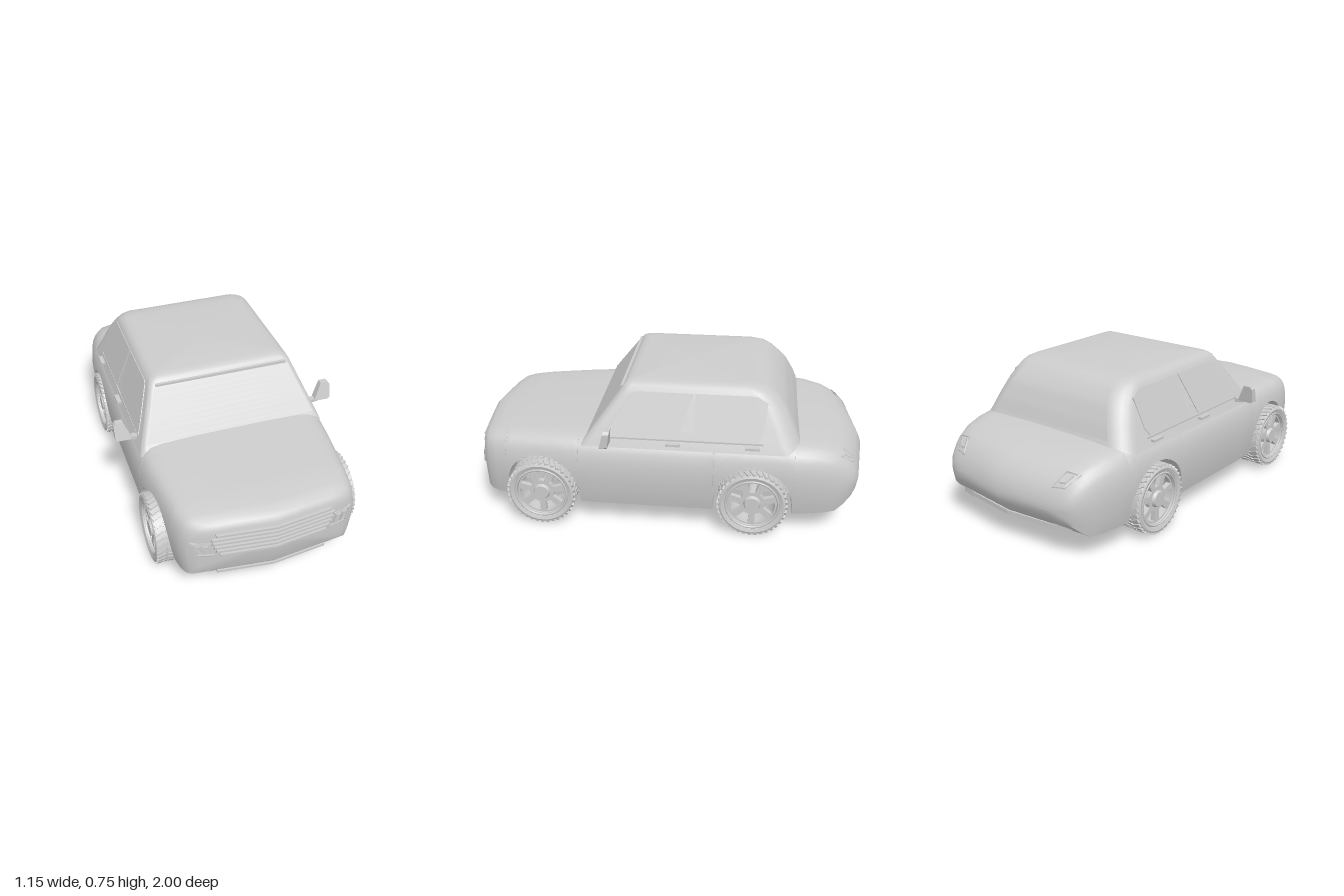
import * as THREE from 'three';
import { toCreasedNormals, mergeGeometries } from 'three/addons/utils/BufferGeometryUtils.js';

const material = new THREE.MeshStandardMaterial({ color: 0xcccccc });
const thin = new THREE.MeshStandardMaterial({ color: 0xcccccc, side: THREE.DoubleSide });

function add(parent, name, geometry, mat = material) {
  const m = new THREE.Mesh(geometry, mat);
  m.name = name;
  parent.add(m);
  return m;
}

// Linear lookup in a table of rows [key, a, b, ...] sorted by rising key
function lookup(table, key, col) {
  let i = 1;
  while (i < table.length - 1 && table[i][0] < key) i++;
  const a = table[i - 1], b = table[i];
  const t = THREE.MathUtils.clamp((key - a[0]) / (b[0] - a[0]), 0, 1);
  return a[col] + (b[col] - a[col]) * t;
}

// Skin over closed rings of equal length, with fan caps around the given centres
function loft(rings, startCentre, endCentre, crease) {
  const n = rings[0].length, index = [];
  const verts = [...rings.flat(), startCentre, endCentre];
  const s = rings.length * n, last = s - n;
  for (let j = 0; j < n; j++) {
    const k = (j + 1) % n;
    for (let i = 0; i < rings.length - 1; i++) {
      const a = i * n + j, b = i * n + k;
      index.push(a, b, a + n, b, b + n, a + n);
    }
    index.push(s, k, j, s + 1, last + j, last + k);
  }
  const g = new THREE.BufferGeometry();
  g.setAttribute('position', new THREE.Float32BufferAttribute(verts.flat(), 3));
  g.setIndex(index);
  return toCreasedNormals(g, crease);
}

// Lower body stations: z, half width, top, bottom
const BODY = [
  [-1.0, 0.33, 0.285, 0.25], [-0.99, 0.38, 0.32, 0.222], [-0.97, 0.41, 0.36, 0.188], [-0.93, 0.435, 0.402, 0.15],
  [-0.88, 0.452, 0.43, 0.122], [-0.8, 0.472, 0.455, 0.12], [-0.7, 0.492, 0.474, 0.12], [-0.6, 0.502, 0.485, 0.12],
  [0.35, 0.502, 0.484, 0.12], [0.5, 0.492, 0.476, 0.12], [0.65, 0.474, 0.468, 0.12], [0.8, 0.456, 0.458, 0.12],
  [0.9, 0.443, 0.448, 0.12], [0.95, 0.427, 0.438, 0.126], [0.972, 0.405, 0.424, 0.135], [0.985, 0.365, 0.4, 0.16]];
// Side profile: height fraction, width fraction
const SIDE = [[0, 0.95], [0.12, 0.97], [0.25, 0.985], [0.4, 0.997], [0.55, 1], [0.68, 0.992], [0.8, 0.972],
  [0.88, 0.945], [0.94, 0.905], [0.98, 0.84], [1, 0.72]];
const AXLES = [0.62, -0.44], ARCH = 0.195, WHEEL = 0.174, VEE = 0.116;

function bodyRing(z) {
  const hw = lookup(BODY, z, 1), top = lookup(BODY, z, 2), floor = lookup(BODY, z, 3);
  let sill = floor;
  for (const c of AXLES)
    if (Math.abs(z - c) < ARCH) sill = WHEEL + Math.sqrt(ARCH ** 2 - (z - c) ** 2);
  const half = [[0, floor], [0.28, floor], [0.28, sill]];
  for (const [f] of SIDE) {
    const y = sill + (top - sill) * f;
    half.push([hw * lookup(SIDE, (y - floor) / (top - floor), 1), y]);
  }
  half.push([hw * 0.35, top + 0.004], [0, top + 0.005]);
  const ring = [...half, ...half.slice(1, -1).reverse().map(([x, y]) => [-x, y])];
  const bend = VEE * Math.sign(z) * THREE.MathUtils.smoothstep(Math.abs(z), 0.75, 0.97);
  return ring.map(([x, y]) => [x, y, z - bend * Math.abs(x)]);
}

function bodyGeometry() {
  const zs = BODY.map((r) => r[0]);
  for (let z = -0.6; z < 0.4; z += 0.1) zs.push(z);
  for (const c of AXLES) {
    zs.push(c - ARCH - 0.001, c + ARCH + 0.001);
    for (let i = 0; i <= 20; i++) zs.push(c + ARCH * 0.9999 * Math.cos(Math.PI * i / 20));
  }
  zs.sort((a, b) => a - b);
  return loft(zs.map(bodyRing), [0, 0.267, -1], [0, 0.28, 0.985], 0.6);
}

// Cabin levels: y, front z, rear z, half width, front radius, rear radius
const CABIN = [
  [0.44, 0.42, -0.68, 0.477, 0.03, 0.1], [0.485, 0.385, -0.655, 0.46, 0.03, 0.1], [0.56, 0.33, -0.625, 0.43, 0.03, 0.1],
  [0.64, 0.27, -0.583, 0.398, 0.03, 0.1], [0.68, 0.24, -0.55, 0.382, 0.03, 0.1], [0.71, 0.217, -0.516, 0.37, 0.03, 0.09],
  [0.728, 0.205, -0.487, 0.357, 0.03, 0.08], [0.74, 0.188, -0.45, 0.336, 0.03, 0.07], [0.745, 0.16, -0.4, 0.305, 0.03, 0.06]];

function cabinGeometry() {
  const rings = CABIN.map(([y, zf, zr, hw, rf, rr]) => {
    const ring = [];
    [[1, 1], [1, -1], [-1, -1], [-1, 1]].forEach(([sx, sz], q) => {
      const r = sz > 0 ? rf : rr, z = sz > 0 ? zf - r : zr + r;
      for (let k = 0; k <= 6; k++) {
        const a = (q + k / 6) * Math.PI / 2;
        ring.push([sx * (hw - r) + r * Math.sin(a), y, z + r * Math.cos(a)]);
      }
    });
    return ring;
  });
  return loft(rings, [0, 0.44, -0.1], [0, 0.747, -0.1], 0.75);
}

// Front or rear glass following the cabin levels
function screen(col, dir, y0, y1, inset) {
  const g = new THREE.PlaneGeometry(2, 1, 1, 10), p = g.attributes.position;
  for (let i = 0; i < p.count; i++) {
    const y = y0 + (p.getY(i) + 0.5) * (y1 - y0);
    p.setXYZ(i, dir * p.getX(i) * (lookup(CABIN, y, 3) - inset), y, lookup(CABIN, y, col) + dir * 0.004);
  }
  g.computeVertexNormals();
  return g;
}

const shapeOf = (pts) => new THREE.Shape(pts.map((p) => new THREE.Vector2(...p)));
const extrude = (shape, depth) => new THREE.ExtrudeGeometry(shape, { depth, bevelEnabled: false, curveSegments: 20 });
const scaled = (pts, k) => {
  const cx = pts.reduce((s, p) => s + p[0], 0) / pts.length, cy = pts.reduce((s, p) => s + p[1], 0) / pts.length;
  return pts.map(([x, y]) => [cx + (x - cx) * k, cy + (y - cy) * k]);
};

// Side window drawn in (z, y), leaning with the cabin side
function sideWindow(pts, side) {
  const g = extrude(shapeOf(pts), 0.008), p = g.attributes.position;
  for (let i = 0; i < p.count; i++) {
    const z = p.getX(i), y = p.getY(i);
    p.setXYZ(i, side * (lookup(CABIN, y, 3) - 0.004 + p.getZ(i)), y, z);
  }
  g.computeVertexNormals();
  return g;
}

// Flat outline laid on the body, seen from the front (x, y) or from above (x, z)
function lamp(body, shape, side, above) {
  const g = extrude(shape, 0.016), p = g.attributes.position;
  const ray = new THREE.Raycaster(), down = new THREE.Vector3(0, above ? -1 : 0, above ? 0 : -1);
  for (let i = 0; i < p.count; i++) {
    const u = p.getX(i), v = p.getY(i), d = p.getZ(i) - 0.008;
    ray.set(above ? new THREE.Vector3(u, 2, v) : new THREE.Vector3(u, v, 2), down);
    const hit = ray.intersectObject(body)[0];
    if (above) p.setXYZ(i, side * u, (hit ? hit.point.y : 0.36) + d, v);
    else p.setXYZ(i, side * u, v, (hit ? hit.point.z : 0.92) + d);
  }
  g.computeVertexNormals();
  return g;
}

// Bar bent to the pointed plan of the nose or tail
function veeBar(w, y, h, z, depth, dir = 1) {
  const s = VEE * w * dir, d = depth * dir;
  return extrude(shapeOf([[-w, z - s], [0, z], [w, z - s], [w, z - s - d], [0, z - d], [-w, z - s - d]]), h)
    .rotateX(Math.PI / 2).translate(0, y + h / 2, 0);
}

function makeWheel() {
  const wheel = new THREE.Group();
  const profile = [[0.13, -0.085], [0.155, -0.094], [0.164, -0.09], [0.169, -0.075], [0.169, 0.075], [0.164, 0.09],
    [0.155, 0.094], [0.137, 0.088], [0.134, 0.08], [0.124, 0.08], [0.118, 0.04], [0.122, -0.08], [0.13, -0.085]];
  const tyre = new THREE.LatheGeometry(profile.map((p) => new THREE.Vector2(...p)), 56).rotateZ(-Math.PI / 2);
  add(wheel, 'tyre', toCreasedNormals(tyre, 0.6), thin);
  // Zigzag tread blocks
  const blocks = [];
  for (let i = 0; i < 36; i++) for (let row = 0; row < 4; row++) {
    const b = new THREE.BoxGeometry(0.046, 0.01, 0.019).rotateY(row % 2 ? 0.45 : -0.45);
    blocks.push(b.translate((row - 1.5) * 0.044, 0.169, 0).rotateX(i * Math.PI / 18));
  }
  add(wheel, 'tread', mergeGeometries(blocks));
  // Rim face with seven openings
  const face = new THREE.Shape().absarc(0, 0, 0.126, 0, Math.PI * 2);
  for (let i = 0; i < 7; i++) {
    const a = i * Math.PI * 2 / 7 + Math.PI / 2;
    face.holes.push(new THREE.Path().absarc(0, 0, 0.114, a - 0.3, a + 0.3).absarc(0, 0, 0.062, a + 0.22, a - 0.22, true));
  }
  add(wheel, 'rim', extrude(face, 0.025).rotateY(Math.PI / 2).translate(0.045, 0, 0));
  add(wheel, 'rimLip', new THREE.TorusGeometry(0.13, 0.006, 8, 48).rotateY(Math.PI / 2).translate(0.084, 0, 0));
  add(wheel, 'hub', new THREE.CylinderGeometry(0.036, 0.05, 0.03, 24).rotateZ(-Math.PI / 2).translate(0.07, 0, 0));
  add(wheel, 'axleStub', new THREE.CylinderGeometry(0.025, 0.025, 0.2, 16).rotateZ(Math.PI / 2).translate(-0.05, 0, 0));
  return wheel;
}

export function createModel() {
  const car = new THREE.Group();
  const body = add(car, 'lowerBody', bodyGeometry(), thin);
  add(car, 'cabin', cabinGeometry());
  add(car, 'windscreen', screen(1, 1, 0.488, 0.7, 0.022), thin);
  add(car, 'rearWindow', screen(2, -1, 0.5, 0.705, 0.085), thin);
  add(car, 'windscreenBrow', new THREE.BoxGeometry(0.68, 0.012, 0.02).translate(0, 0.71, 0.216));

  // Grille slats and lower lip
  [0.28, 0.3, 0.295, 0.288, 0.278, 0.262].forEach((w, i) =>
    add(car, 'grilleSlat', veeBar(w, 0.376 - i * 0.024, 0.011, 0.999, 0.03)));
  add(car, 'frontLip', veeBar(0.27, 0.136, 0.012, 0.985, 0.06));
  // Rear bumper insert
  add(car, 'rearBumperBar', veeBar(0.28, 0.145, 0.022, -0.945, 0.1, -1));

  const frontPane = [[0.3, 0.492], [0.27, 0.545], [0.165, 0.69], [0.145, 0.7], [-0.135, 0.7], [-0.065, 0.492]];
  const rearPane = [[-0.145, 0.492], [-0.145, 0.7], [-0.44, 0.7], [-0.495, 0.67], [-0.48, 0.53], [-0.455, 0.492]];
  const headlight = [[0.275, 0.252], [0.37, 0.262], [0.395, 0.345], [0.305, 0.333]];
  const tailLight = [[0.29, -0.94], [0.355, -0.925], [0.395, -0.86], [0.325, -0.87]];
  const ring = (pts) => {
    const s = shapeOf(pts);
    s.holes.push(new THREE.Path(scaled(pts, 0.8).map((p) => new THREE.Vector2(...p))));
    return s;
  };
  for (const side of [1, -1]) {
    add(car, 'frontSideWindow', sideWindow(frontPane, side), thin);
    add(car, 'rearSideWindow', sideWindow(rearPane, side), thin);
    add(car, 'windowSill', new THREE.BoxGeometry(0.012, 0.008, 0.76).translate(side * 0.458, 0.487, -0.1));
    for (const z of [-0.045, -0.43])
      add(car, 'doorHandle', new THREE.BoxGeometry(0.022, 0.012, 0.07).translate(side * 0.48, 0.473, z));
    // Lamps: frame, plus inner cells
    add(car, 'headlightFrame', lamp(body, ring(headlight), side, false), thin);
    add(car, 'headlightCell', lamp(body, shapeOf([[0.3, 0.268], [0.326, 0.271], [0.34, 0.32], [0.315, 0.318]]), side, false), thin);
    add(car, 'headlightCell', lamp(body, shapeOf([[0.336, 0.272], [0.36, 0.275], [0.374, 0.325], [0.35, 0.322]]), side, false), thin);
    add(car, 'tailLightFrame', lamp(body, ring(tailLight), side, true), thin);
    add(car, 'tailLightCell', lamp(body, shapeOf(scaled(tailLight, 0.5)), side, true), thin);
    for (let i = 0; i < 3; i++)
      add(car, 'frontVentSlat', new THREE.BoxGeometry(0.085 - i * 0.012, 0.006, 0.03)
        .rotateY(side * 0.32).translate(side * (0.335 - i * 0.004), 0.166 - i * 0.012, 0.92));
    add(car, 'rearBumperBlock', new THREE.BoxGeometry(0.09, 0.032, 0.07).rotateY(side * -0.2).translate(side * 0.31, 0.147, -0.872));

    // Door mirror: slanted housing on a short arm
    const housing = shapeOf([[0.497, 0.478], [0.563, 0.478], [0.572, 0.486], [0.574, 0.555], [0.562, 0.569], [0.525, 0.569], [0.49, 0.488]]);
    const g = extrude(housing, 0.04), p = g.attributes.position;
    for (let i = 0; i < p.count; i++)
      p.setXYZ(i, p.getX(i) * side, p.getY(i), 0.262 + (side > 0 ? p.getZ(i) : 0.04 - p.getZ(i)) * (1 - (p.getY(i) - 0.478) * 3) - (p.getY(i) - 0.478) * 0.15);
    g.computeVertexNormals();
    add(car, 'mirrorHousing', g, thin);
    add(car, 'mirrorArm', new THREE.BoxGeometry(0.07, 0.018, 0.03).rotateZ(side * 0.15).translate(side * 0.48, 0.476, 0.28));

    AXLES.forEach((z, i) => {
      const wheel = makeWheel();
      wheel.name = i ? 'rearWheel' : 'frontWheel';
      wheel.position.set(side * 0.42, WHEEL, z);
      if (side < 0) wheel.rotation.y = Math.PI;
      car.add(wheel);
    });
  }
  return car;
}
